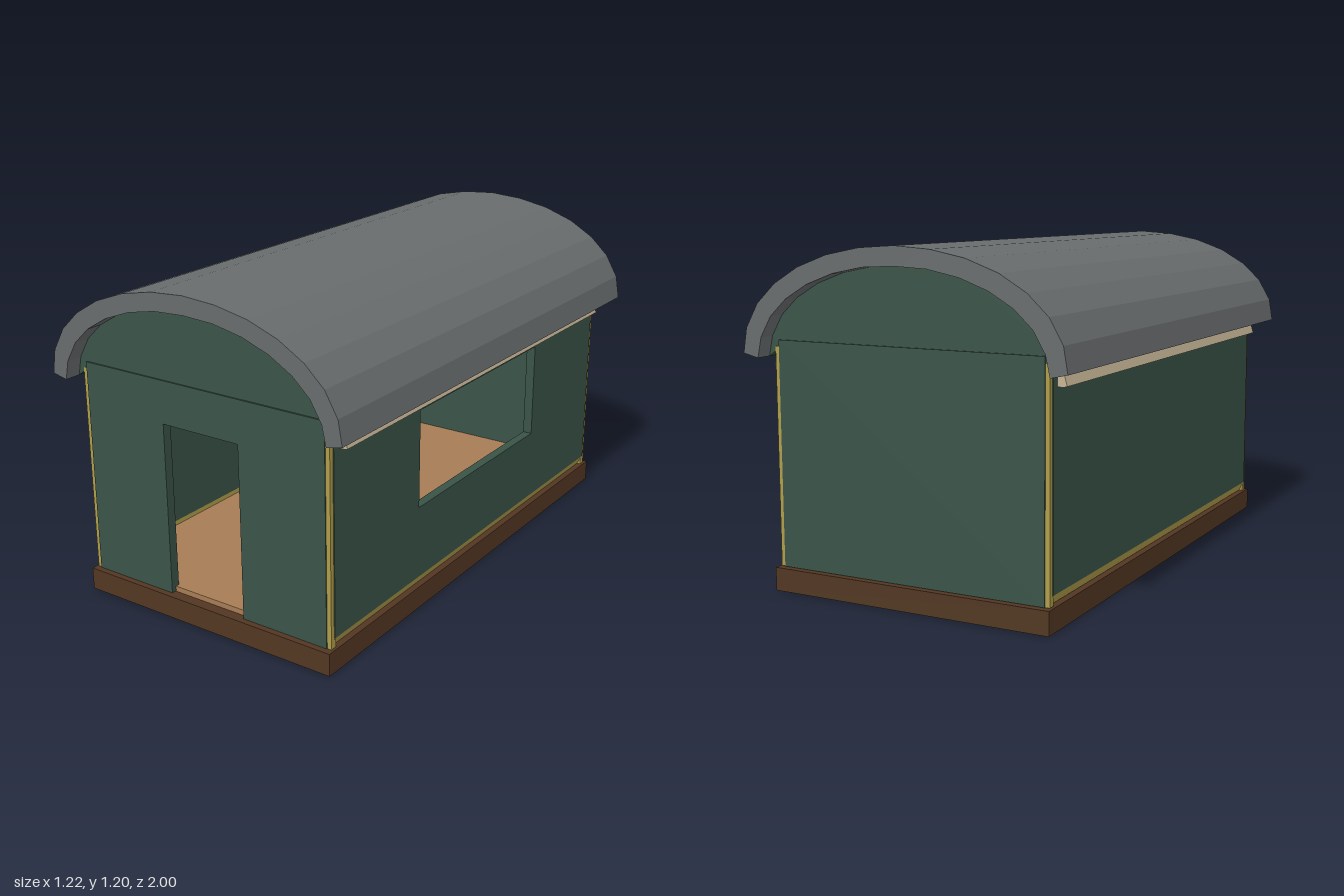
import * as THREE from 'three';

const mat = (name, color) => {
  const m = new THREE.MeshStandardMaterial({ color });
  m.name = name;
  return m;
};

// Half profiles of the arched roof, from the right eave to the ridge
const ROOF_OUT = [[0.61, 0.828], [0.595, 0.915], [0.547, 0.998], [0.473, 1.067], [0.376, 1.124], [0.26, 1.166], [0.133, 1.191], [0, 1.2]];
const ROOF_IN = [[0.55, 0.815], [0.535, 0.885], [0.492, 0.958], [0.427, 1.018], [0.341, 1.068], [0.237, 1.106], [0.121, 1.129], [0, 1.135]];
const inset = (d) => ROOF_IN.slice(1).map(([x, y]) => [Math.max(0, x - d * x / 0.55), y - d * (1 - x * 0.8)]);
const LINING_OUT = [[0.559, 0.778], [0.547, 0.82], ...inset(0.002)];
const LINING_IN = [[0.547, 0.775], [0.535, 0.82], ...inset(0.014)];

// Full arch from right to left
const mirrorArch = (half) => [...half, ...half.slice(0, -1).reverse().map(([x, y]) => [-x, y])];

const shapeOf = (pts) => new THREE.Shape(pts.map(([x, y]) => new THREE.Vector2(x, y)));

const rect = (x0, y0, x1, y1) => [[x0, y0], [x1, y0], [x1, y1], [x0, y1]];

// Extrude a front-facing shape from z0 to z1
function slab(shape, z0, z1) {
  const g = new THREE.ExtrudeGeometry(shape, { depth: z1 - z0, bevelEnabled: false });
  return g.translate(0, 0, z0);
}

export function createModel() {
  const green = mat('green wall', 0x3a5347);
  const grey = mat('grey roof', 0x686c6d);
  const darkBrown = mat('dark brown base', 0x523722);
  const gold = mat('gold trim', 0xb09d4a);
  const beige = mat('beige lining', 0xc6b494);
  const tan = mat('tan floor', 0xa67c54);

  const model = new THREE.Group();
  model.name = 'arched hut';
  const add = (name, geometry, material) => {
    const mesh = new THREE.Mesh(geometry, material);
    mesh.name = name;
    model.add(mesh);
    return mesh;
  };
  const box = (name, material, w, h, d, x, y, z) =>
    add(name, new THREE.BoxGeometry(w, h, d).translate(x, y, z), material);

  // Base and floor
  box('base', darkBrown, 1.06, 0.082, 1.93, 0, 0.041, 0);
  box('floor', tan, 0.99, 0.022, 1.85, 0, 0.091, 0);

  // Front wall with a doorway, plain back wall
  const frontShape = shapeOf([
    [-0.505, 0.084], [-0.16, 0.084], [-0.16, 0.718], [0.16, 0.718],
    [0.16, 0.084], [0.505, 0.084], [0.505, 0.873], [-0.505, 0.873],
  ]);
  add('frontWall', slab(frontShape, 0.91, 0.945), green);
  add('backWall', slab(shapeOf(rect(-0.505, 0.084, 0.505, 0.873)), -0.945, -0.91), green);

  // Gables filling the arch above both end walls
  const gableShape = shapeOf([[0.5, 0.85], ...mirrorArch(ROOF_IN), [-0.5, 0.85]]);
  for (const s of [1, -1]) {
    add(s > 0 ? 'frontGable' : 'backGable', slab(gableShape, s * 0.927 - 0.012, s * 0.927 + 0.012), green);
  }

  // Side walls, with a wide window on the left side (+x)
  for (const s of [1, -1]) {
    const side = s > 0 ? 'left' : 'right';
    const shape = shapeOf(rect(-0.925, 0.12, 0.925, 0.85));
    if (s > 0) shape.holes.push(new THREE.Path(rect(-0.42, 0.39, 0.42, 0.75).map(([x, y]) => new THREE.Vector2(x, y))));
    const x0 = s > 0 ? 0.49 : -0.525;
    add(side + 'Wall', slab(shape, x0, x0 + 0.035).rotateY(Math.PI / 2), green);

    // Bevelled sill along the foot of the wall
    const sill = [[0.49, 0.084], [0.507, 0.084], [0.525, 0.12], [0.49, 0.12]].map(([x, y]) => [s * x, y]);
    add(side + 'Sill', slab(shapeOf(sill), -0.925, 0.925), gold);

    // Corner posts
    for (const e of [1, -1]) {
      box(side + (e > 0 ? 'FrontPost' : 'BackPost'), gold, 0.025, 0.766, 0.025, s * 0.509, 0.467, e * 0.929);
    }
  }

  // Arched roof shell
  const ring = (outer, inner) => shapeOf([...mirrorArch(outer), ...mirrorArch(inner).reverse()]);
  add('roof', slab(ring(ROOF_OUT, ROOF_IN), -1, 1), grey);

  // Ceiling lining with closed ends
  add('ceilingLining', slab(ring(LINING_OUT, LINING_IN), -0.9, 0.9), beige);
  const capShape = shapeOf(mirrorArch(LINING_IN));
  for (const s of [1, -1]) {
    add(s > 0 ? 'frontLiningEnd' : 'backLiningEnd', slab(capShape, s * 0.897 - 0.003, s * 0.897 + 0.003), beige);
  }

  return model;
}
